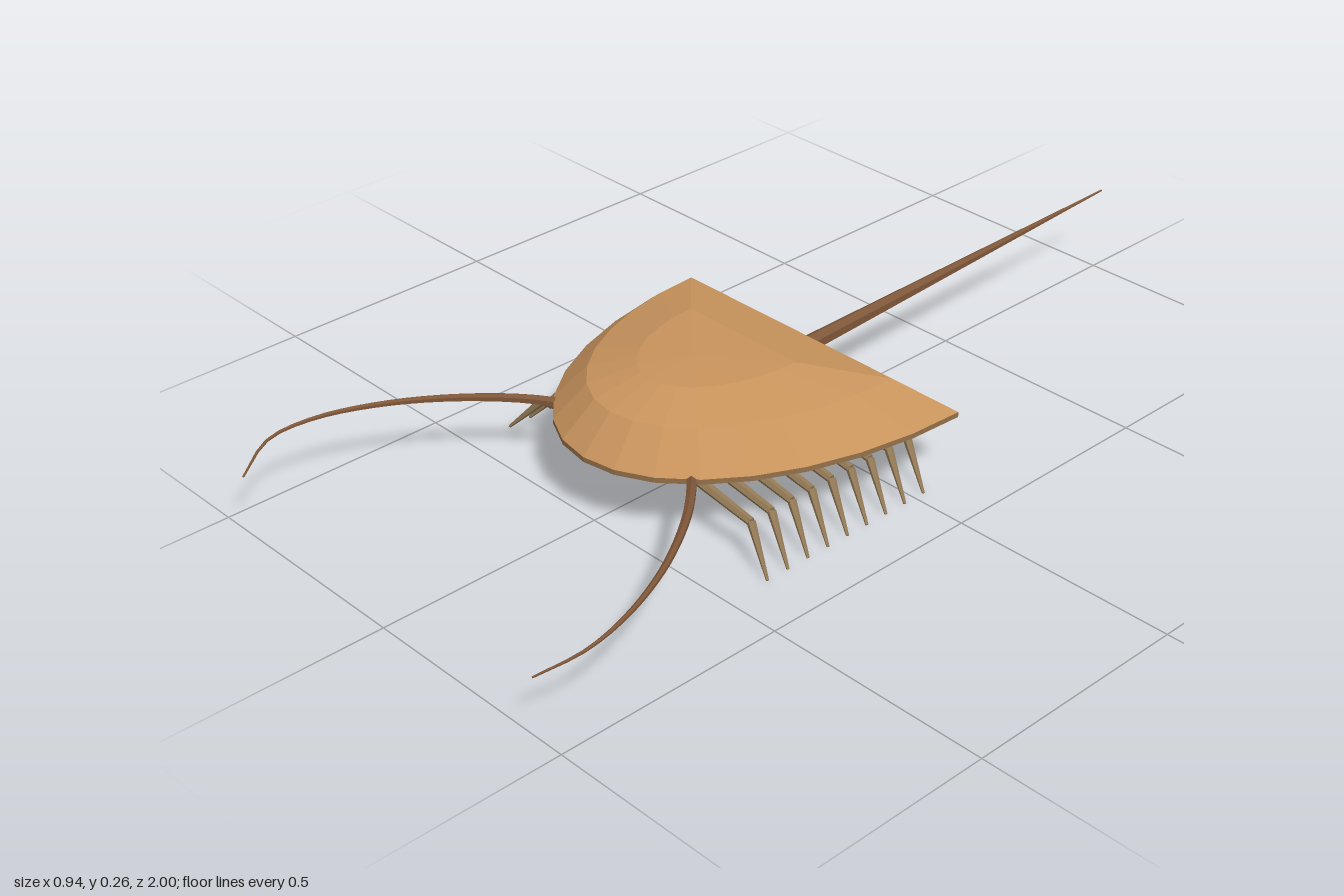
import * as THREE from 'three';

const V = (x, y, z) => new THREE.Vector3(x, y, z);
const mat = (color) => new THREE.MeshStandardMaterial({ color, flatShading: true });
const shellMat = mat(0xc8935c);
const plateMat = mat(0x94704a);
const bellyMat = mat(0xc4ae84);
const legMat = mat(0x937a56);
const feelerMat = mat(0x7e5638);

function add(parent, name, geometry, material) {
  const mesh = new THREE.Mesh(geometry, material);
  mesh.name = name;
  parent.add(mesh);
  return mesh;
}

// Shell outline: half ellipse at the front, straight edge at the back
const outline = [];
for (let i = 0; i <= 16; i++) {
  const t = (i / 16) * Math.PI;
  outline.push([0.385 * Math.cos(t), -0.11 + 0.63 * Math.sin(t)]);
}
for (const x of [-0.19, 0, 0.19]) outline.push([x, -0.11]);

// Stack scaled copies of the outline, each ring given as [scale, height]
function loft(rings) {
  const cz = 0.24, n = outline.length, pos = [], index = [];
  for (const [s, y] of rings) {
    for (const [x, z] of outline) pos.push(x * s, y, cz + (z - cz) * s);
  }
  for (let r = 0; r < rings.length - 1; r++) {
    for (let i = 0; i < n; i++) {
      const j = (i + 1) % n;
      const a = r * n + i, b = a + n, c = r * n + j, d = c + n;
      if (rings[r][0] > 0) index.push(a, b, c);
      if (rings[r + 1][0] > 0) index.push(b, d, c);
      else if (rings[r][0] === 0) index.push(b, d, c);
    }
  }
  const g = new THREE.BufferGeometry();
  g.setAttribute('position', new THREE.Float32BufferAttribute(pos, 3));
  g.setIndex(index);
  g.computeVertexNormals();
  return g;
}

// Tapered straight limb from a to b
function limb(parent, name, a, b, ra, rb, material, sides = 6) {
  const dir = b.clone().sub(a);
  const mesh = add(parent, name, new THREE.CylinderGeometry(rb, ra, dir.length(), sides), material);
  mesh.position.copy(a).add(b).multiplyScalar(0.5);
  mesh.quaternion.setFromUnitVectors(V(0, 1, 0), dir.normalize());
  return mesh;
}

// Tube that thins from r0 to r1 along a curve
function taperedTube(curve, segments, sides, r0, r1) {
  const g = new THREE.TubeGeometry(curve, segments, 1, sides);
  const p = g.attributes.position, v = V(0, 0, 0);
  for (let i = 0; i <= segments; i++) {
    const c = curve.getPointAt(i / segments);
    const r = r0 + (r1 - r0) * (i / segments);
    for (let k = 0; k <= sides; k++) {
      const n = i * (sides + 1) + k;
      v.fromBufferAttribute(p, n).sub(c).multiplyScalar(r).add(c);
      p.setXYZ(n, v.x, v.y, v.z);
    }
  }
  g.computeVertexNormals();
  return g;
}

export function createModel() {
  const model = new THREE.Group();
  model.name = 'shelledCrawler';

  // Domed shell and the flat plate under it
  add(model, 'shell', loft([[1, 0.155], [0.75, 0.226], [0.39, 0.256], [0, 0.262]]), shellMat);
  add(model, 'underPlate', loft([[0, 0.144], [1, 0.144], [1, 0.155]]), plateMat);

  // Low-poly belly
  const belly = add(model, 'belly', new THREE.SphereGeometry(1, 14, 8), bellyMat);
  belly.scale.set(0.165, 0.041, 0.225);
  belly.position.set(0, 0.111, 0.18);

  // Tail spine
  limb(model, 'tail', V(0, 0.162, -0.07), V(0.008, 0.196, -1), 0.019, 0.002, feelerMat, 6);

  for (const s of [1, -1]) {
    const side = s > 0 ? 'left' : 'right';

    // Nine jointed legs on each side
    const legs = new THREE.Group();
    legs.name = side + 'Legs';
    model.add(legs);
    for (let i = 0; i < 9; i++) {
      const z = 0.402 - i * 0.053;
      const knee = V(s * 0.305, 0.085, z - 0.03);
      limb(legs, 'upperLeg', V(s * 0.125, 0.128, z - 0.02), knee, 0.012, 0.009, legMat);
      limb(legs, 'lowerLeg', knee, V(s * 0.38, 0.004, z), 0.009, 0.003, legMat);
    }

    // Short rear spike
    limb(model, side + 'RearSpike', V(s * 0.09, 0.117, -0.085), V(s * 0.144, 0.066, -0.163), 0.012, 0.004, legMat);

    // Long curved feeler
    const path = new THREE.CatmullRomCurve3([
      V(s * 0.13, 0.128, 0.37), V(s * 0.2, 0.15, 0.425), V(s * 0.3, 0.162, 0.53),
      V(s * 0.4, 0.168, 0.68), V(s * 0.457, 0.166, 0.82), V(s * 0.467, 0.155, 0.915),
      V(s * 0.43, 0.125, 0.998),
    ]);
    add(model, side + 'Feeler', taperedTube(path, 24, 6, 0.012, 0.002), feelerMat);
  }
  return model;
}
